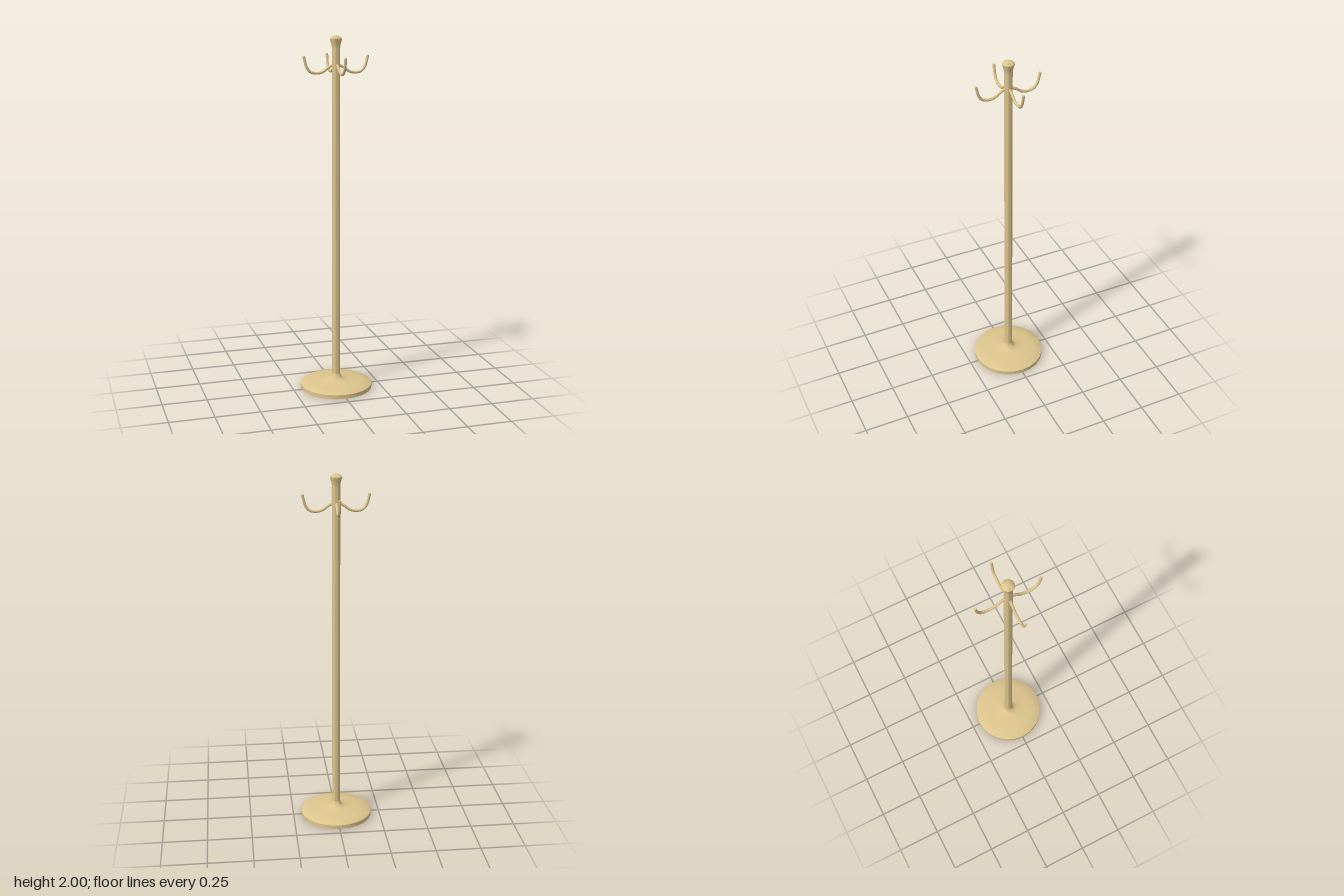
import * as THREE from 'three';
import { toCreasedNormals } from 'three/addons/utils/BufferGeometryUtils.js';

const material = new THREE.MeshStandardMaterial({ color: 0xdcc48c });

function turned(name, points, sides) {
  const profile = points.map(([r, y]) => new THREE.Vector2(r, y));
  const geometry = toCreasedNormals(new THREE.LatheGeometry(profile, sides), 0.7);
  const mesh = new THREE.Mesh(geometry, material);
  mesh.name = name;
  return mesh;
}

// Upturned hook: a swept tube with a closed tip
function createHook() {
  const hook = new THREE.Group();
  const path = new THREE.CatmullRomCurve3([
    [0.01, 1.842], [0.04, 1.828], [0.075, 1.804], [0.11, 1.797],
    [0.145, 1.806], [0.165, 1.832], [0.174, 1.862], [0.18, 1.889],
  ].map(([x, y]) => new THREE.Vector3(x, y, 0)));
  const radius = 0.0075;
  const arm = new THREE.Mesh(new THREE.TubeGeometry(path, 28, radius, 12), material);
  arm.name = 'hookArm';

  const tip = new THREE.Mesh(new THREE.CircleGeometry(radius, 12), material);
  tip.name = 'hookTip';
  tip.position.copy(path.getPoint(1));
  tip.quaternion.setFromUnitVectors(new THREE.Vector3(0, 0, 1), path.getTangent(1));
  hook.add(arm, tip);
  return hook;
}

export function createModel() {
  const model = new THREE.Group();
  model.name = 'coatStand';

  // Weighted foot, domed and flaring up into the pole
  model.add(turned('base', [
    [0, 0], [0.204, 0], [0.204, 0.023], [0.198, 0.027], [0.15, 0.035],
    [0.1, 0.041], [0.06, 0.046], [0.04, 0.052], [0.029, 0.062], [0.0225, 0.082],
  ], 24));

  // Straight pole
  model.add(turned('pole', [[0.0225, 0.08], [0.0225, 1.935]], 24));

  // Flared finial with a shallow pointed cap
  model.add(turned('finial', [
    [0.0225, 1.93], [0.024, 1.945], [0.029, 1.965], [0.033, 1.976],
    [0.033, 1.981], [0.027, 1.987], [0.014, 1.995], [0, 2],
  ], 24));

  // Four hooks around the pole
  for (let i = 0; i < 4; i++) {
    const hook = createHook();
    hook.name = `hook${i + 1}`;
    hook.rotation.y = i * Math.PI / 2;
    model.add(hook);
  }
  return model;
}
